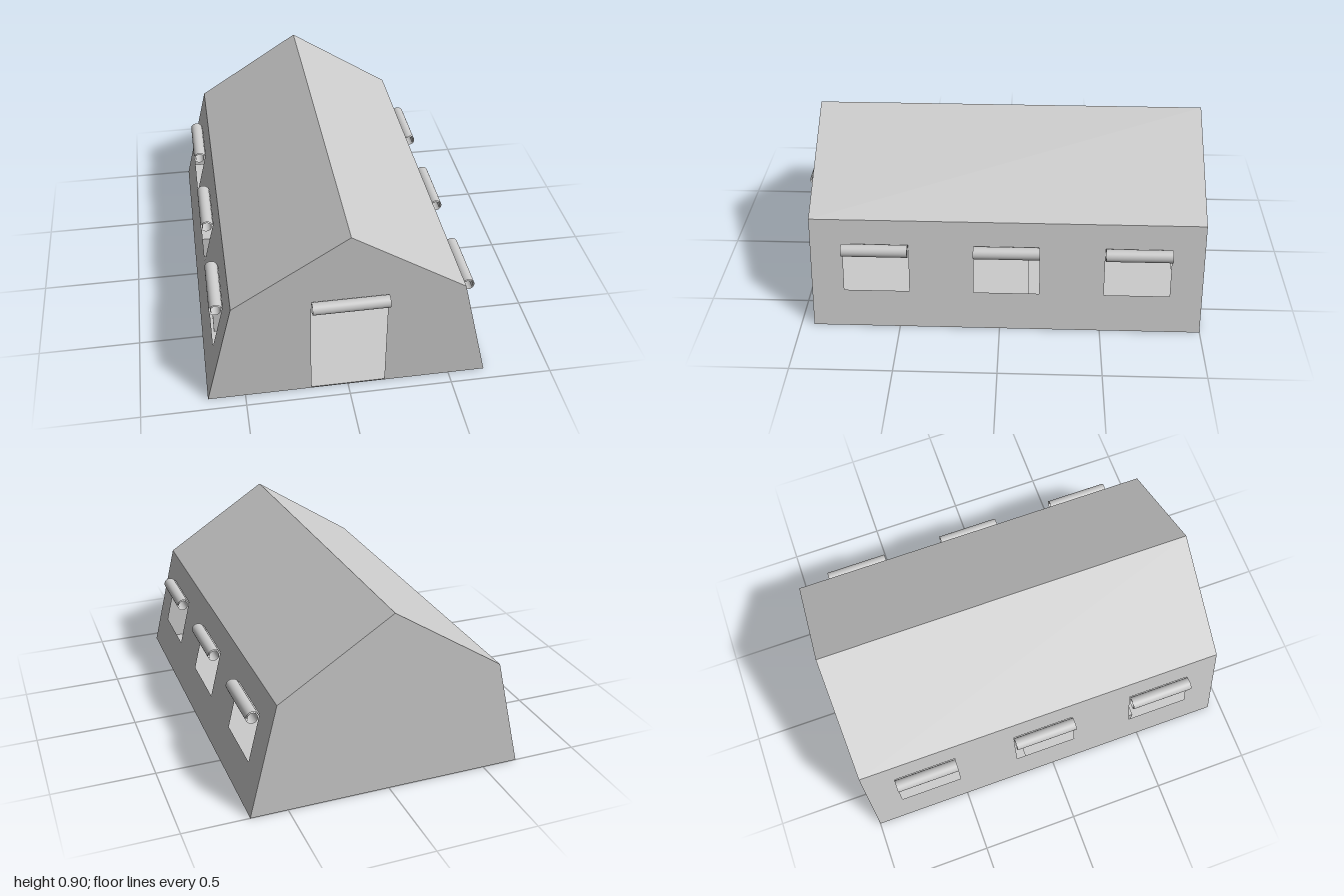
import * as THREE from 'three';

const FRONT = 0.935, BACK = -1, HALF = 0.68, EAVE_X = 0.545, EAVE_Y = 0.555, RIDGE = 0.905;
const canvas = new THREE.MeshStandardMaterial({ color: 0xcccccc, side: THREE.DoubleSide });

function polygon(points, Type = THREE.Shape) {
  return new Type(points.map(([x, y]) => new THREE.Vector2(x, y)));
}

function rect(x0, x1, y0, y1, Type) {
  return polygon([[x0, y0], [x1, y0], [x1, y1], [x0, y1]], Type);
}

// Flat sheet whose points (u, v) are placed in space by a rule
function sheet(name, shape, place) {
  const geo = new THREE.ShapeGeometry(shape);
  const pos = geo.attributes.position;
  for (let i = 0; i < pos.count; i++) pos.setXYZ(i, ...place(pos.getX(i), pos.getY(i)));
  geo.computeVertexNormals();
  const mesh = new THREE.Mesh(geo, canvas);
  mesh.name = name;
  return mesh;
}

// Rolled-up flap: a thin spiral sheet along x, starting at the wall and curling outward (+z)
function rolledFlap(name, length, radius) {
  const geo = new THREE.PlaneGeometry(length, 1, 1, 48);
  const pos = geo.attributes.position;
  for (let i = 0; i < pos.count; i++) {
    const t = 0.5 - pos.getY(i);
    const angle = Math.PI - t * Math.PI * 3.2;
    const r = radius * (1 - 0.35 * t);
    pos.setXYZ(i, pos.getX(i), r * Math.sin(angle), r * Math.cos(angle));
  }
  geo.computeVertexNormals();
  const mesh = new THREE.Mesh(geo, canvas);
  mesh.name = name;
  return mesh;
}

function box(name, x0, x1, height, z0, z1) {
  const mesh = new THREE.Mesh(new THREE.BoxGeometry(x1 - x0, height, z1 - z0), canvas);
  mesh.position.set((x0 + x1) / 2, height / 2 + 0.002, (z0 + z1) / 2);
  mesh.name = name;
  return mesh;
}

export function createModel() {
  const tent = new THREE.Group();
  tent.name = 'tent';

  // End walls, the front one with a doorway
  const gable = [[-HALF, 0], [HALF, 0], [EAVE_X, EAVE_Y], [0, RIDGE], [-EAVE_X, EAVE_Y]];
  const frontShape = polygon(gable);
  frontShape.holes.push(rect(-0.18, 0.18, 0.006, 0.55, THREE.Path));
  tent.add(sheet('frontWall', frontShape, (u, v) => [u, v, FRONT]));
  tent.add(sheet('backWall', polygon(gable), (u, v) => [-u, v, BACK]));

  // Floor
  tent.add(sheet('floor', rect(-HALF, HALF, BACK, FRONT), (u, v) => [u, 0, v]));

  // Rolled door flap
  const doorFlap = rolledFlap('doorFlap', 0.36, 0.0325);
  doorFlap.position.set(0, 0.54, FRONT + 0.0325);
  tent.add(doorFlap);

  const windows = [[0.45, 0.775], [-0.195, 0.13], [-0.84, -0.515]];
  for (const side of [1, -1]) {
    const label = side > 0 ? 'left' : 'right';
    const range = (a, b) => [-side * a, -side * b].sort((p, q) => p - q);

    // Leaning side wall with window openings
    const wall = rect(...range(BACK, FRONT), 0, EAVE_Y);
    for (const [a, b] of windows) wall.holes.push(rect(...range(a, b), 0.19, 0.43, THREE.Path));
    tent.add(sheet(label + 'Wall', wall, (u, v) =>
      [side * (HALF - (HALF - EAVE_X) * v / EAVE_Y), v, -side * u]));

    // Roof slope
    tent.add(sheet(label + 'Roof', rect(...range(BACK, FRONT), 0, 1), (u, v) =>
      [side * EAVE_X * (1 - v), EAVE_Y + (RIDGE - EAVE_Y) * v, -side * u]));

    // Rolled window flaps
    for (const [a, b] of windows) {
      const flap = rolledFlap(label + 'WindowFlap', b - a, 0.034);
      flap.rotation.y = side * Math.PI / 2;
      flap.position.set(side * 0.61, 0.417, (a + b) / 2);
      tent.add(flap);
    }

    // Low bed at the back
    const [x0, x1] = side > 0 ? [0.14, 0.64] : [-0.64, -0.14];
    tent.add(box(label + 'Bed', x0, x1, 0.123, -0.885, -0.14));
  }

  // Storage chest beside the right wall
  tent.add(box('chest', -0.62, -0.42, 0.203, 0.225, 0.475));

  return tent;
}
